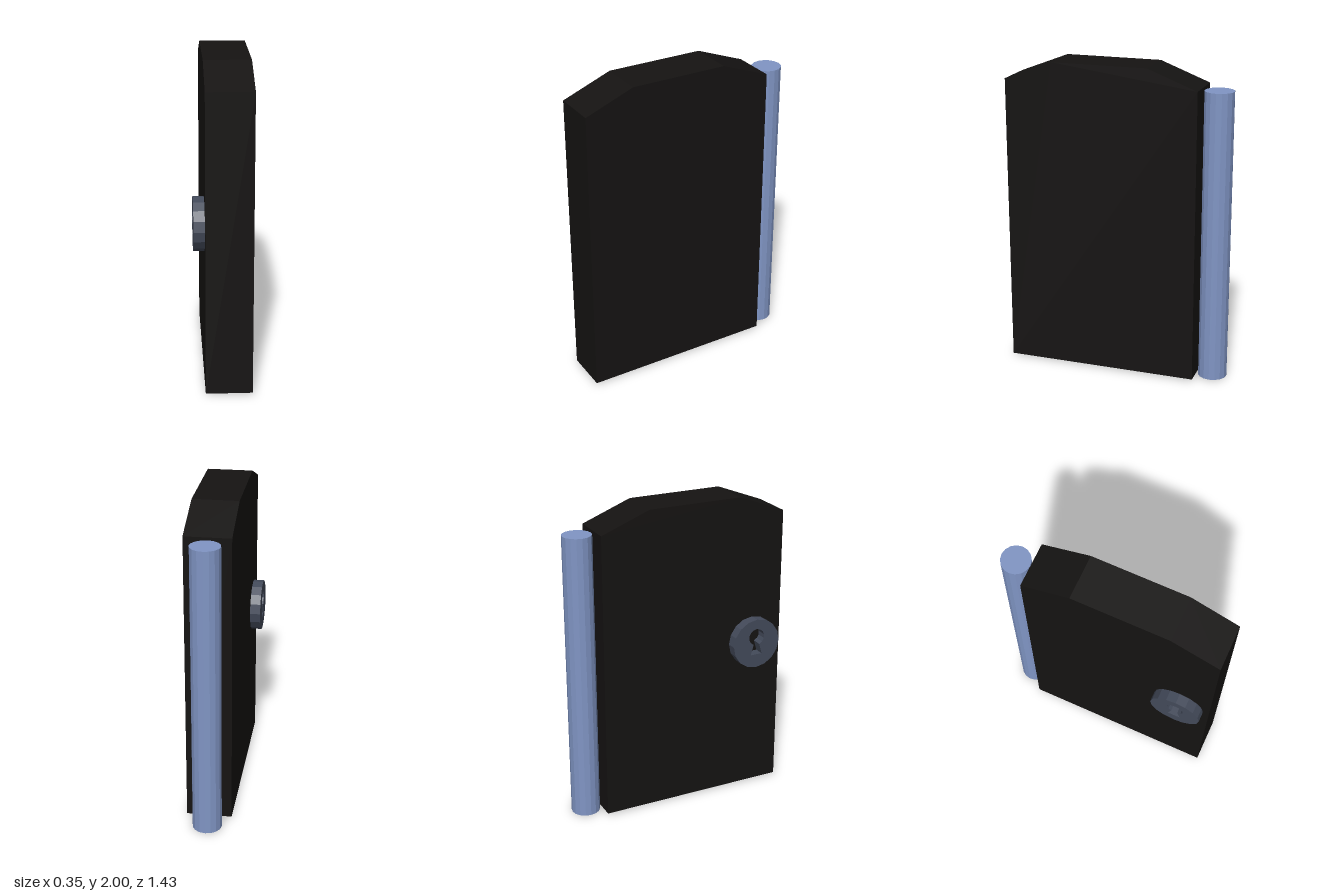
import * as THREE from 'three';

const material = (color) => new THREE.MeshStandardMaterial({ color, flatShading: true });

// Extrudes a side profile, given as (z, y) points, from x = xMax towards -x.
function sideExtrusion(name, shape, xMax, depth, color) {
  const geometry = new THREE.ExtrudeGeometry(shape, { depth, bevelEnabled: false });
  geometry.rotateY(-Math.PI / 2);
  const mesh = new THREE.Mesh(geometry, material(color));
  mesh.name = name;
  mesh.position.x = xMax;
  return mesh;
}

// Points on a circular arc, ends included.
function arc(cz, cy, r, start, end, steps) {
  return Array.from({ length: steps + 1 }, (_, i) => {
    const a = start + (end - start) * i / steps;
    return new THREE.Vector2(cz + r * Math.cos(a), cy + r * Math.sin(a));
  });
}

export function createModel() {
  const model = new THREE.Group();
  model.name = 'doorLeaf';

  // Thick door panel with chamfered top corners
  const panel = new THREE.Shape([
    [0.715, 0.01], [0.715, 1.88], [0.405, 2], [-0.21, 2], [-0.525, 1.88], [-0.525, 0.01],
  ].map(([z, y]) => new THREE.Vector2(z, y)));
  model.add(sideExtrusion('doorPanel', panel, 0.175, 0.286, 0x151312));

  // Round hinge post behind the panel
  const post = new THREE.Mesh(new THREE.CylinderGeometry(0.0925, 0.0925, 1.865, 16), material(0x8095c4));
  post.name = 'hingePost';
  post.position.set(0.03, 0.9325, -0.6225);
  model.add(post);

  // Round lock plate with a keyhole: circle above a flared slot
  const cz = 0.51, cy = 1.035, holeY = cy + 0.045;
  const plate = new THREE.Shape(arc(cz, cy, 0.165, 0, Math.PI * 15 / 8, 15));
  plate.holes.push(new THREE.Path([
    ...arc(cz, holeY, 0.055, -Math.PI * 0.38, Math.PI * 1.38, 12),
    new THREE.Vector2(cz - 0.04, cy - 0.075),
    new THREE.Vector2(cz + 0.04, cy - 0.075),
  ]));
  model.add(sideExtrusion('lockPlate', plate, -0.111, 0.067, 0x434a5a));

  return model;
}
